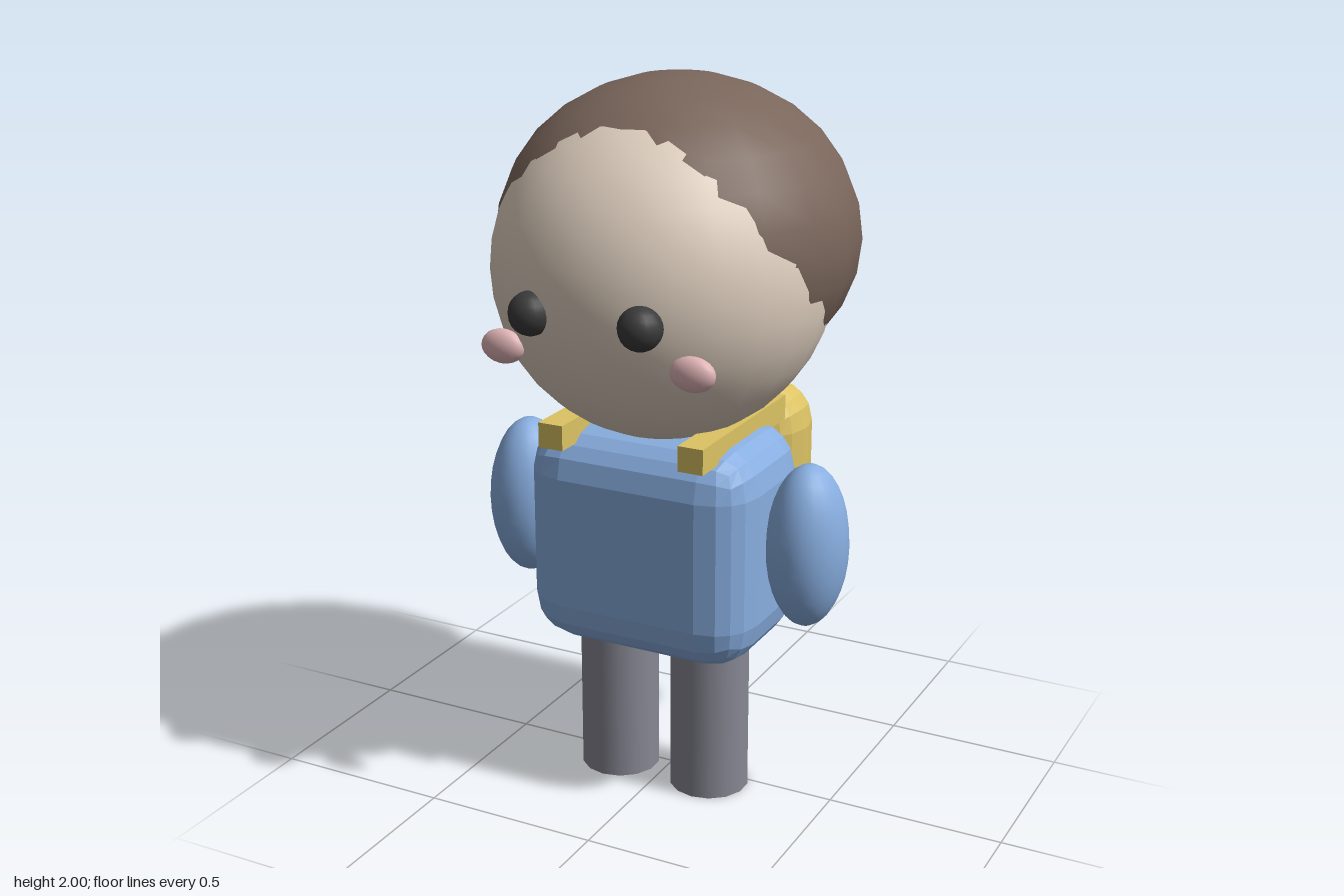
import * as THREE from 'three';
import { RoundedBoxGeometry } from 'three/addons/geometries/RoundedBoxGeometry.js';

const paint = (name, color) => {
  const m = new THREE.MeshStandardMaterial({ color });
  m.name = name;
  return m;
};

export function createModel() {
  const model = new THREE.Group();
  model.name = 'backpackChild';

  const skin = paint('skin', 0xdfcfbf);
  const hairBrown = paint('hairBrown', 0x7a665b);
  const shirtBlue = paint('shirtBlue', 0x88aee0);
  const trouserGrey = paint('trouserGrey', 0x878893);
  const packYellow = paint('packYellow', 0xdcc364);
  const eyeBlack = paint('eyeBlack', 0x3a3a3a);
  const blushPink = paint('blushPink', 0xdfb3b5);

  const add = (name, geometry, material, x, y, z) => {
    const mesh = new THREE.Mesh(geometry, material);
    mesh.name = name;
    mesh.position.set(x, y, z);
    model.add(mesh);
    return mesh;
  };
  // Sphere stretched to the given radii
  const ellipsoid = (rx, ry, rz, w = 20, h = 14) =>
    new THREE.SphereGeometry(1, w, h).scale(rx, ry, rz);
  // Rounded box with faceted edges
  const facetedBox = (w, h, d, segments, radius) => {
    const g = new RoundedBoxGeometry(w, h, d, segments, radius);
    g.computeVertexNormals();
    return g;
  };

  // Head, with a flattened cap of hair set up and back from it
  add('head', ellipsoid(0.46, 0.46, 0.457, 24, 18), skin, 0, 1.5, 0.05);
  add('hair', ellipsoid(0.49, 0.427, 0.495, 20, 14), hairBrown, 0, 1.573, -0.04);

  // Torso and backpack
  add('torso', facetedBox(0.67, 0.63, 0.46, 2, 0.13), shirtBlue, 0, 0.75, 0.05);
  add('backpack', facetedBox(0.54, 0.595, 0.275, 2, 0.12), packYellow, 0, 0.803, -0.307);

  // Paired parts
  for (const [side, s] of [['left', 1], ['right', -1]]) {
    add(side + 'Eye', ellipsoid(0.058, 0.058, 0.058, 16, 12), eyeBlack, s * 0.156, 1.455, 0.476);
    add(side + 'Cheek', ellipsoid(0.063, 0.046, 0.032, 16, 12), blushPink, s * 0.273, 1.34, 0.423);
    add(side + 'Arm', ellipsoid(0.11, 0.23, 0.127, 20, 16), shirtBlue, s * 0.432, 0.78, 0.048);
    add(side + 'Leg', new THREE.CylinderGeometry(0.113, 0.113, 0.46, 14), trouserGrey, s * 0.143, 0.23, 0.048);
    add(side + 'Strap', new THREE.BoxGeometry(0.073, 0.07, 0.52), packYellow, s * 0.208, 1.066, 0.046);
  }

  return model;
}
